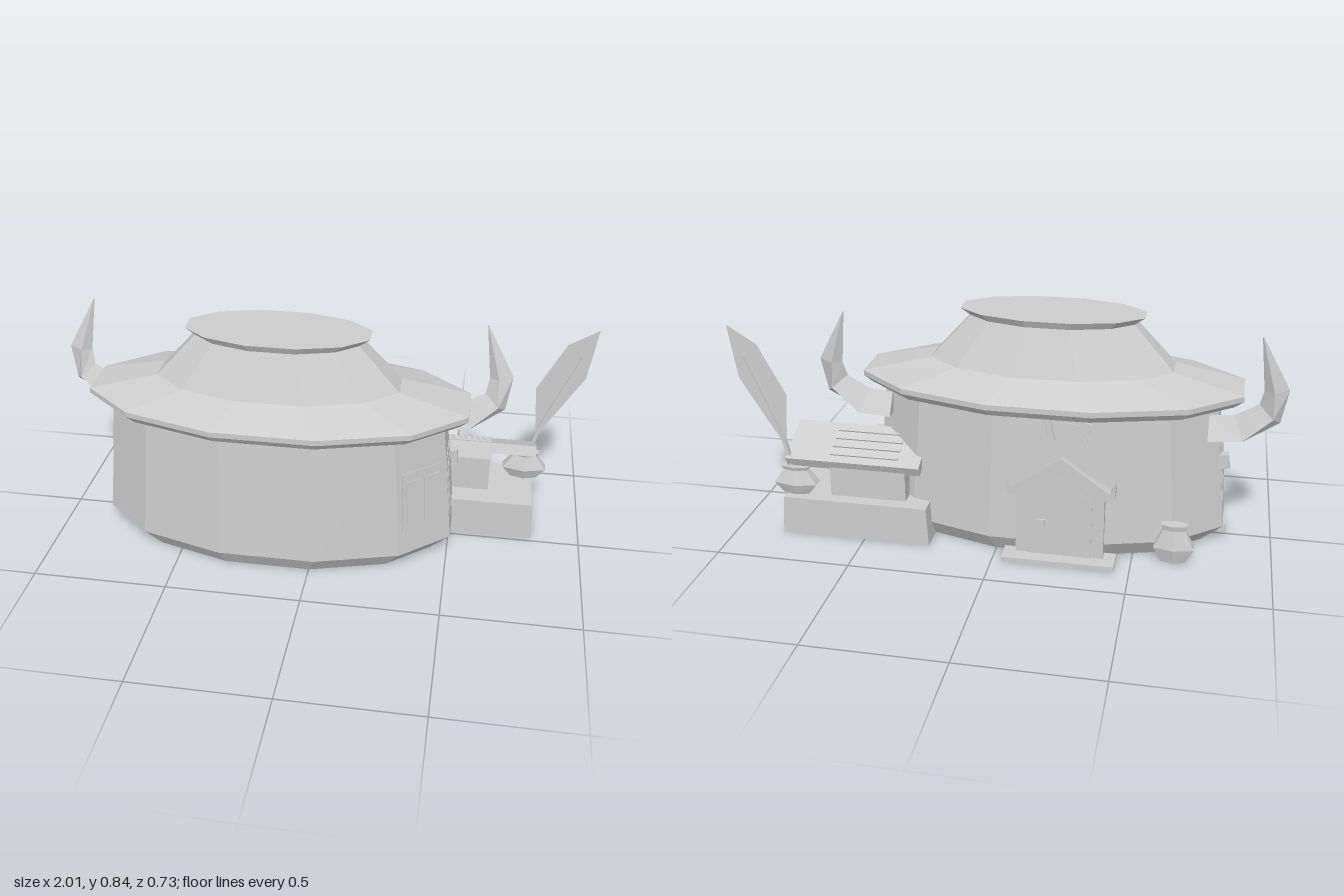
import * as THREE from 'three';

const CX = -0.155, CZ = 0.023; // axis of the oval hut
const stone = new THREE.MeshStandardMaterial({ color: 0xcccccc, side: THREE.DoubleSide });
stone.name = 'pale grey';

// Flat-shaded mesh with a name
function part(name, geo, parent, pos = [0, 0, 0]) {
  const g = geo.index ? geo.toNonIndexed() : geo;
  g.computeVertexNormals();
  const m = new THREE.Mesh(g, stone);
  m.name = name;
  m.position.set(...pos);
  parent.add(m);
  return m;
}

const box = (name, parent, size, pos) => part(name, new THREE.BoxGeometry(...size), parent, pos);

// Skin over rings of points, each ring counter-clockwise along the path
function loft(rings, startCap = true, endCap = true) {
  const n = rings[0].length, idx = [];
  for (let r = 0; r < rings.length - 1; r++)
    for (let i = 0; i < n; i++) {
      const j = (i + 1) % n, a = r * n, b = a + n;
      idx.push(a + i, a + j, b + j, a + i, b + j, b + i);
    }
  const t = (rings.length - 1) * n;
  for (let i = 1; i < n - 1; i++) {
    if (startCap) idx.push(0, i + 1, i);
    if (endCap) idx.push(t, t + i, t + i + 1);
  }
  const g = new THREE.BufferGeometry();
  g.setAttribute('position', new THREE.Float32BufferAttribute(rings.flat(2), 3));
  g.setIndex(idx);
  return g;
}

// Oval (or, with 4 sides, rectangular) rings: levels are [y, half width in x, half depth in z]
function ovalLoft(levels, sides, startCap, endCap) {
  const k = Math.cos(Math.PI / sides);
  return loft(levels.map(([y, hx, hz]) =>
    Array.from({ length: sides }, (_, i) => {
      const a = ((i + 0.5) / sides) * Math.PI * 2;
      return [(Math.cos(a) * hx) / k, y, (-Math.sin(a) * hz) / k];
    })), startCap, endCap);
}

// Curved horn of diamond section; side +1 is the left, -1 the right
function horn(side) {
  const s = [ // outer x,y, inner x,y, front z, back z, place of the side ridges
    [0.43, 0.44, 0.43, 0.52, -0.04, -0.145, 0],
    [0.55, 0.445, 0.52, 0.53, -0.042, -0.147, 0.05],
    [0.677, 0.515, 0.6, 0.58, -0.063, -0.14, 0.35],
    [0.698, 0.645, 0.612, 0.635, -0.09, -0.14, 0.6],
    [0.593, 0.838, 0.589, 0.838, -0.134, -0.138, 0.5],
  ];
  return loft(s.map(([ox, oy, ix, iy, f, b, t]) => {
    const m = (f + b) / 2, rx = ox + (ix - ox) * t, ry = oy + (iy - oy) * t;
    const ring = [[ox, oy, m], [rx, ry, b], [ix, iy, m], [rx, ry, f]]
      .map(([x, y, z]) => [side * (x - CX), y, z]);
    return side > 0 ? ring : ring.reverse();
  }));
}

// Thin two-shutter window lying on the sloping wall facet centred on angle a (degrees)
function shutterWindow(a, width, shift, parent) {
  const k = Math.cos(Math.PI / 12);
  const at = (deg, hx, hz, y) => {
    const r = THREE.MathUtils.degToRad(deg);
    return new THREE.Vector3(CX + Math.cos(r) * hx / k, y, CZ + Math.sin(r) * hz / k);
  };
  const low0 = at(a - 15, 0.665, 0.328, 0.065), low1 = at(a + 15, 0.665, 0.328, 0.065);
  const top = at(a - 15, 0.618, 0.298, 0.545).add(at(a + 15, 0.618, 0.298, 0.545)).multiplyScalar(0.5);
  const low = low0.clone().add(low1).multiplyScalar(0.5);
  const u = low0.clone().sub(low1).normalize();
  const n = u.clone().cross(top.clone().sub(low)).normalize();
  const v = n.clone().cross(u);
  const g = new THREE.Group();
  g.name = 'shutterWindow';
  g.applyMatrix4(new THREE.Matrix4().makeBasis(u, v, n));
  g.position.copy(low).lerp(top, (0.28 - 0.065) / 0.48).addScaledVector(u, shift);
  box('windowFrame', g, [width, 0.24, 0.006], [0, 0, 0]);
  for (const s of [-1, 1])
    box('shutter', g, [width * 0.38, 0.18, 0.006], [s * width * 0.215, -0.005, 0.003]);
  parent.add(g);
}

// Six-sided pot, r and h scale its girth and height
function pot(name, parent, pos, r, h) {
  part(name, ovalLoft([[0, 0.05, 0.025], [0.042, 0.083, 0.038], [0.095, 0.045, 0.022], [0.11, 0.053, 0.026]]
    .map(([y, x, z]) => [y * h, x * r, z * r]), 6), parent, pos);
}

const shapeOf = (pts) => new THREE.Shape(pts.map(([x, y]) => new THREE.Vector2(x, y)));
const slab = (pts, depth) =>
  new THREE.ExtrudeGeometry(shapeOf(pts), { depth, bevelEnabled: false }).translate(0, 0, -depth / 2);

export function createModel() {
  const model = new THREE.Group();
  model.name = 'hornedHut';

  // Hollow hut walls and roof, open underneath
  part('walls', ovalLoft([[0, 0.591, 0.29], [0.065, 0.665, 0.328], [0.545, 0.618, 0.298]], 12, false, false),
    model, [CX, 0, CZ]);
  part('roof', ovalLoft([[0.545, 0.618, 0.298], [0.545, 0.67, 0.321], [0.57, 0.703, 0.339], [0.59, 0.703, 0.339],
    [0.65, 0.449, 0.213], [0.815, 0.3, 0.14], [0.842, 0.337, 0.154]], 12, false), model, [CX, 0, CZ]);

  // Horns, wall brackets and windows on both ends
  for (const s of [1, -1]) {
    part(s > 0 ? 'leftHorn' : 'rightHorn', horn(s), model, [CX, 0, 0]);
    box('wallBracket', model, [0.06, 0.055, 0.035], [CX + s * 0.64, 0.328, -0.05])
      .rotation.z = s * 0.1;
    shutterWindow(s > 0 ? 0 : 180, 0.135, s * -0.006, model);
  }
  shutterWindow(30, 0.18, 0, model);
  box('lowHatch', model, [0.03, 0.03, 0.09], [-0.815, 0.045, 0.0]);

  // Back door with gable, knob and step
  const door = new THREE.Group();
  door.name = 'backDoor';
  door.position.set(-0.24, 0, 0);
  model.add(door);
  part('doorFrame', slab([[-0.16, 0], [0.16, 0], [0.16, 0.265], [0, 0.385], [-0.16, 0.265]], 0.07),
    door, [0, 0, -0.272]);
  part('doorLeaf', slab([[-0.115, 0.01], [0.115, 0.01], [0.115, 0.24], [0, 0.33], [-0.115, 0.24]], 0.01),
    door, [0, 0, -0.306]);
  box('doorKnob', door, [0.035, 0.03, 0.02], [0.07, 0.145, -0.309]);
  box('doorStep', door, [0.41, 0.018, 0.1], [0, 0.009, -0.313]);
  for (const s of [1, -1]) {
    const pts = [[0, 0.375], [0.165, 0.25], [0.195, 0.26], [0.198, 0.305], [0.178, 0.28], [0, 0.405]]
      .map(([x, y]) => [s * x, y]);
    part('gableBeam', slab(pts, 0.07), door, [0, 0, -0.277]);
  }

  // Small tilted shutters above the door
  for (const s of [1, -1]) {
    const g = new THREE.Group();
    g.name = 'upperShutter';
    g.position.set(-0.215 + s * 0.065, 0.495, -0.28);
    g.rotation.set(0.06, 0, -s * 0.25);
    box('shutterBoard', g, [0.11, 0.1, 0.016], [0, 0, 0]);
    box('shutterPanel', g, [0.07, 0.065, 0.008], [0, 0, -0.008]);
    model.add(g);
  }

  // Hollow stone bench with sloping slatted table
  part('bench', ovalLoft([[0, 0.285, 0.142], [0.147, 0.275, 0.139]], 4, false), model, [0.535, 0, -0.162]);
  part('tableSupport', ovalLoft([[0.14, 0.145, 0.07], [0.285, 0.145, 0.07]], 4, false), model, [0.495, 0, -0.18]);
  const table = new THREE.Group();
  table.name = 'slopingTable';
  table.position.set(0.55, 0.315, -0.167);
  table.rotation.x = -0.44;
  box('tableTop', table, [0.515, 0.04, 0.195], [0, 0, 0]);
  for (let i = 0; i < 4; i++)
    box('slat', table, [0.26, 0.008, 0.01], [-0.04, 0.022, -0.06 + i * 0.04]);
  model.add(table);

  // Pots, and the paddle standing in one of them
  pot('benchPot', model, [0.775, 0.147, -0.243], 1, 1);
  pot('groundPot', model, [-0.648, 0, -0.238], 0.88, 1.35);
  part('paddleBlade', new THREE.ShapeGeometry(shapeOf([[0.77, 0.22], [0.795, 0.22], [0.815, 0.34], [0.97, 0.595],
    [1, 0.798], [0.89, 0.73], [0.79, 0.54], [0.805, 0.34]])), model, [0, 0, -0.243]);
  part('paddleRib', slab([[0.772, 0.22], [0.79, 0.22], [0.822, 0.36], [0.945, 0.683], [0.808, 0.36]], 0.015),
    model, [0, 0, -0.243]);

  return model;
}
